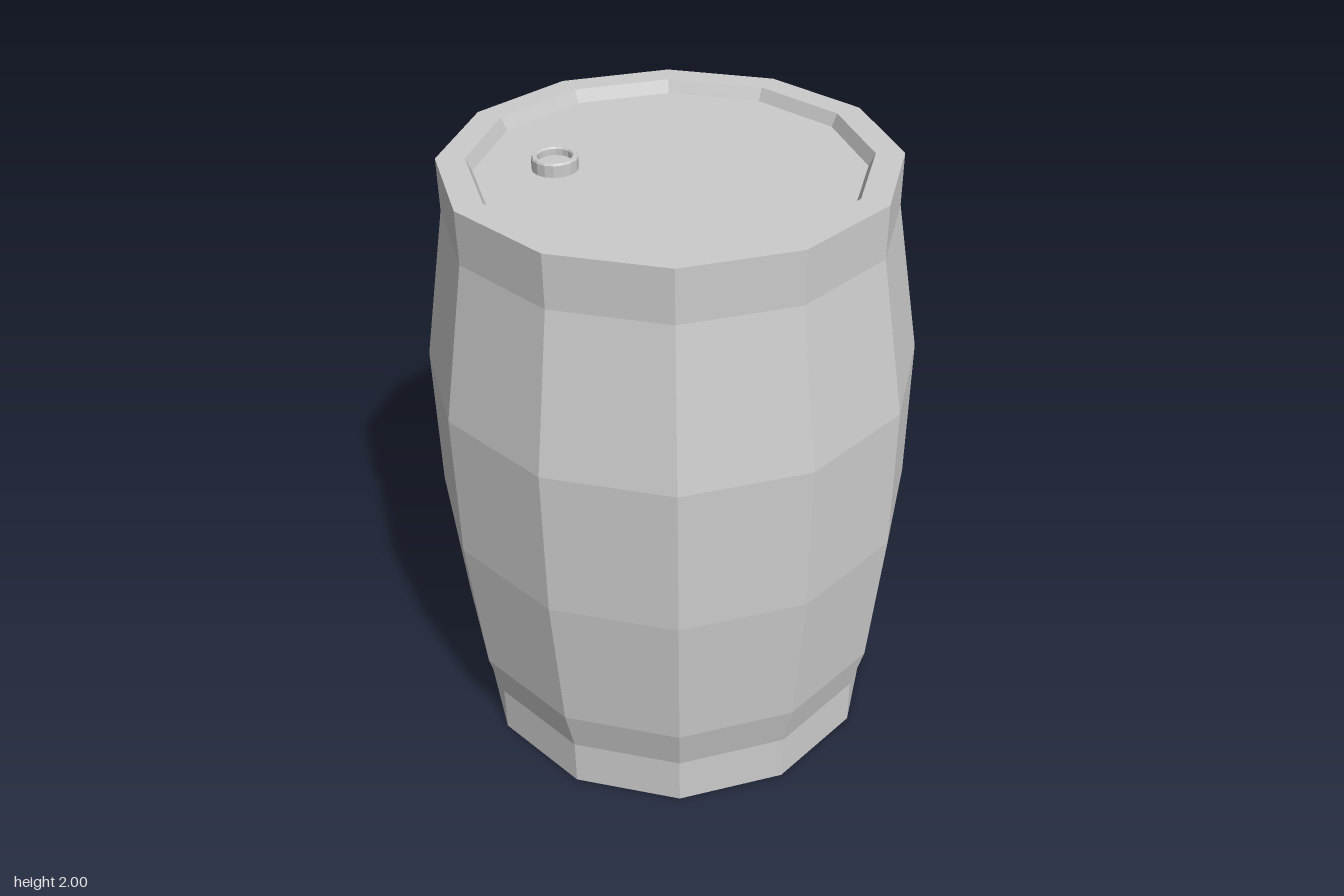
import * as THREE from 'three';

const grey = new THREE.MeshStandardMaterial({ color: 0xcccccc, flatShading: true });
const CENTRE_Z = 0.107;

function lathe(name, points, sides, phiStart = 0) {
  const profile = points.map(([r, y]) => new THREE.Vector2(r, y));
  const mesh = new THREE.Mesh(new THREE.LatheGeometry(profile, sides, phiStart), grey);
  mesh.name = name;
  return mesh;
}

// Skin of rings in the x = 0 plane; each is [y, z, bend angle, radius].
// Angle 0 runs along -z, a right angle runs straight down.
function ringTube(rings, sides) {
  const position = [], index = [];
  for (const [y, z, a, r] of rings) {
    for (let j = 0; j < sides; j++) {
      const t = ((j + 0.5) / sides) * Math.PI * 2;
      const up = r * Math.cos(t);
      position.push(r * Math.sin(t), y + up * Math.cos(a), z - up * Math.sin(a));
    }
  }
  for (let i = 0; i < rings.length - 1; i++) {
    for (let j = 0; j < sides; j++) {
      const k = (j + 1) % sides;
      const a = i * sides + j, b = i * sides + k;
      index.push(a, b, a + sides, b, b + sides, a + sides);
    }
  }
  const geometry = new THREE.BufferGeometry();
  geometry.setAttribute('position', new THREE.Float32BufferAttribute(position, 3));
  geometry.setIndex(index);
  geometry.computeVertexNormals();
  return geometry;
}

export function createModel() {
  const model = new THREE.Group();
  model.name = 'barrel';

  // Twelve-sided body with a recessed lid; profile given across the flats
  const k = 1 / Math.cos(Math.PI / 12);
  const profile = [
    [0, 0], [0.667, 0], [0.667, 0.17], [0.708, 0.335], [0.75, 0.835], [0.75, 1.33],
    [0.667, 1.83], [0.667, 1.997], [0.583, 1.997], [0.565, 1.957], [0, 1.957],
  ].map(([r, y]) => [r * k, y]);
  const body = lathe('barrelBody', profile, 12, Math.PI / 12);
  body.position.z = CENTRE_Z;
  model.add(body);

  // Hollow bung on the lid
  const bung = lathe('lidBung', [
    [0.07, 1.95], [0.07, 1.994], [0.066, 2], [0.056, 2], [0.052, 1.995], [0.052, 1.975], [0, 1.975],
  ], 16);
  bung.position.set(-0.25, 0, 0.34);
  model.add(bung);

  // Elbow spout at the back: straight, bend, lip, then the hollow inside
  const q = Math.PI / 2, bendY = 0.413, bendZ = -0.677, bendR = 0.089, pipeR = 0.084;
  const rings = [[bendY + bendR, -0.57, 0, pipeR]];
  for (let i = 0; i <= 2; i++) {
    const a = (i / 2) * q;
    rings.push([bendY + bendR * Math.cos(a), bendZ - bendR * Math.sin(a), a, pipeR]);
  }
  const endZ = bendZ - bendR;
  for (const [y, r] of [[0.373, 0.082], [0.369, 0.092], [0.357, 0.092], [0.353, 0.088],
    [0.353, 0.074], [0.42, 0.07], [0.42, 0]]) {
    rings.push([y, endZ, q, r]);
  }
  const spout = new THREE.Mesh(ringTube(rings, 12), grey);
  spout.name = 'spout';
  model.add(spout);

  // Round plug above the spout
  const plug = lathe('plug', [[0.047, 0], [0.047, 0.05], [0.043, 0.056], [0, 0.056]], 12, Math.PI / 12);
  plug.rotation.x = -Math.PI / 2;
  plug.position.set(0, 0.69, -0.6);
  model.add(plug);

  return model;
}
